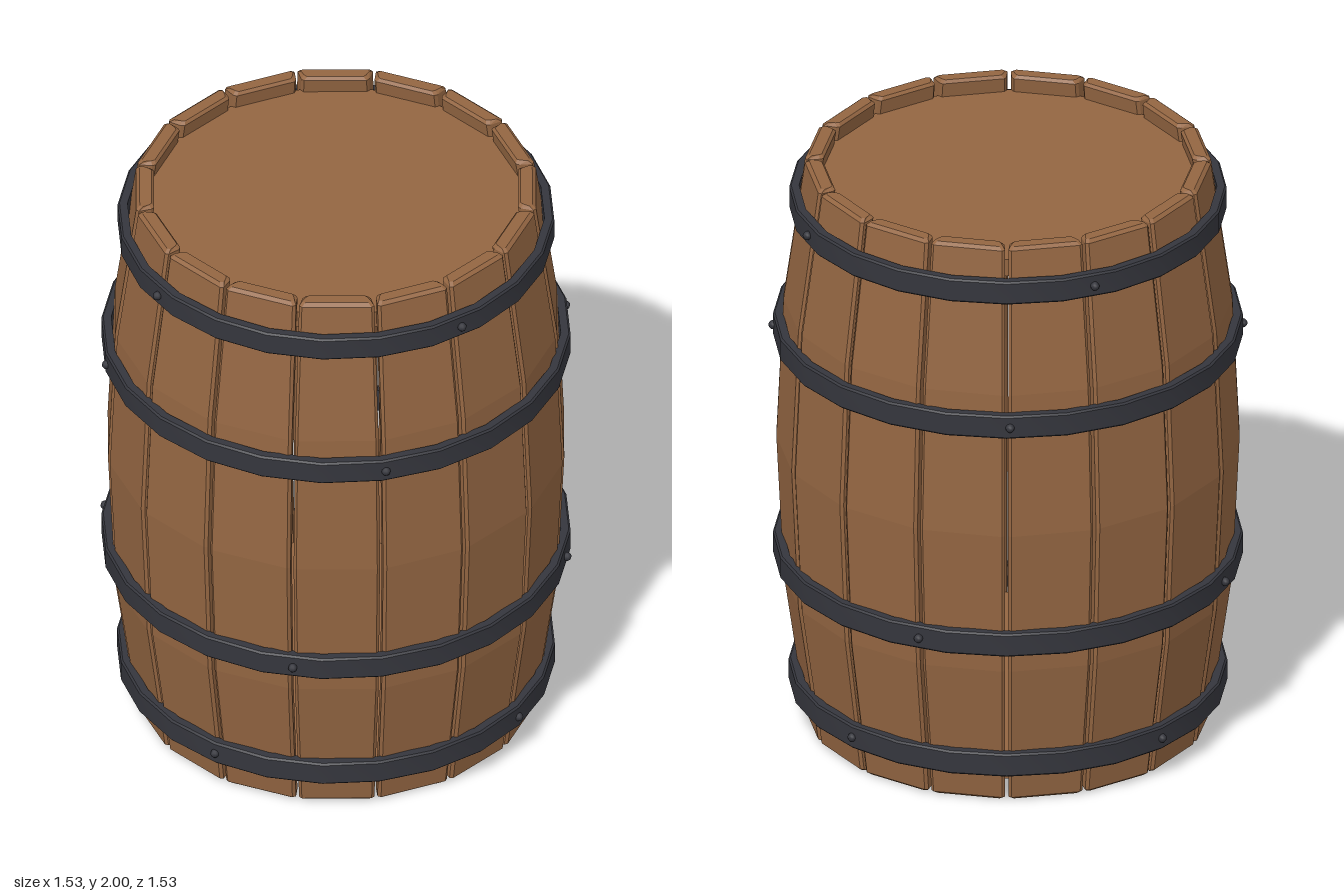
import * as THREE from 'three';
import { toCreasedNormals } from 'three/addons/utils/BufferGeometryUtils.js';

const STAVES = 16;
const HALF = Math.PI / STAVES;
const THICK = 0.06;
const GAP = 0.007; // half the slit between two staves

// Outer corner radius of the barrel at height y
const bulge = (y) => 0.66 + 0.095 * (1 - (y - 1) ** 2);

// Chamfered cross-section of a stave, facing +z
function staveRing(y, R, inset) {
  const c = 0.009;
  const r = R - THICK;
  const zo = R * Math.cos(HALF) - inset;
  const zi = r * Math.cos(HALF) + inset;
  const wo = R * Math.sin(HALF) - GAP - inset;
  const wi = r * Math.sin(HALF) - GAP - inset;
  return [
    [-wo, zo - c], [-wo + c, zo], [wo - c, zo], [wo, zo - c],
    [wi, zi + c], [wi - c, zi], [-wi + c, zi], [-wi, zi + c],
  ].map(([x, z]) => [x, y, z]);
}

// One bowed stave: flat facets lofted through the rings, with capped ends
function staveGeometry() {
  const e = 0.01;
  const rings = [
    staveRing(0, bulge(0), e),
    ...[e, 0.5, 1, 1.5, 2 - e].map((y) => staveRing(y, bulge(y), 0)),
    staveRing(2, bulge(2), e),
  ];
  const pos = [];
  const tri = (a, b, c) => pos.push(...a, ...b, ...c);
  for (let k = 0; k < rings.length - 1; k++) {
    const lo = rings[k], hi = rings[k + 1];
    for (let i = 0; i < 8; i++) {
      const j = (i + 1) % 8;
      tri(lo[i], lo[j], hi[j]);
      tri(lo[i], hi[j], hi[i]);
    }
  }
  const bottom = rings[0], top = rings[rings.length - 1];
  for (let i = 1; i < 7; i++) {
    tri(top[0], top[i], top[i + 1]);
    tri(bottom[0], bottom[i + 1], bottom[i]);
  }
  const g = new THREE.BufferGeometry();
  g.setAttribute('position', new THREE.Float32BufferAttribute(pos, 3));
  g.computeVertexNormals();
  return g;
}

// Flat iron band with slightly eased edges
function hoopGeometry(R) {
  const h = 0.041, b = 0.006, r = R - 0.032;
  const profile = [
    [r, -h], [R - b, -h], [R, -h + b], [R, h - b], [R - b, h], [r, h], [r, -h],
  ].map(([x, y]) => new THREE.Vector2(x, y));
  return toCreasedNormals(new THREE.LatheGeometry(profile, 24), 0.5);
}

export function createModel() {
  const wood = new THREE.MeshStandardMaterial({ color: 0x946642 });
  wood.name = 'wood';
  const iron = new THREE.MeshStandardMaterial({ color: 0x35363d });
  iron.name = 'iron';

  const barrel = new THREE.Group();
  barrel.name = 'barrel';
  const add = (parent, name, geometry, material) => {
    const mesh = new THREE.Mesh(geometry, material);
    mesh.name = name;
    parent.add(mesh);
    return mesh;
  };

  // Ring of staves
  const staves = new THREE.Group();
  staves.name = 'staves';
  barrel.add(staves);
  const stave = staveGeometry();
  for (let i = 0; i < STAVES; i++) {
    add(staves, 'stave', stave, wood).rotation.y = (2 * i + 1) * HALF;
  }

  // Recessed heads at both ends
  const head = new THREE.CylinderGeometry(0.62, 0.62, 0.06, 32);
  add(barrel, 'topHead', head, wood).position.y = 1.91;
  add(barrel, 'bottomHead', head, wood).position.y = 0.09;

  // Hoops, each with four rivets turned a little further than the one below
  const rivet = new THREE.SphereGeometry(0.015, 8, 6);
  [[0.15, 0.712], [0.61, 0.763], [1.4, 0.763], [1.86, 0.71]].forEach(([y, R], i) => {
    const hoop = new THREE.Group();
    hoop.name = 'hoop';
    hoop.position.y = y;
    barrel.add(hoop);
    add(hoop, 'band', hoopGeometry(R), iron);
    for (let k = 0; k < 4; k++) {
      const a = 0.4 * i + (k * Math.PI) / 2;
      add(hoop, 'rivet', rivet, iron).position.set(R * Math.sin(a), 0, R * Math.cos(a));
    }
  });

  return barrel;
}
